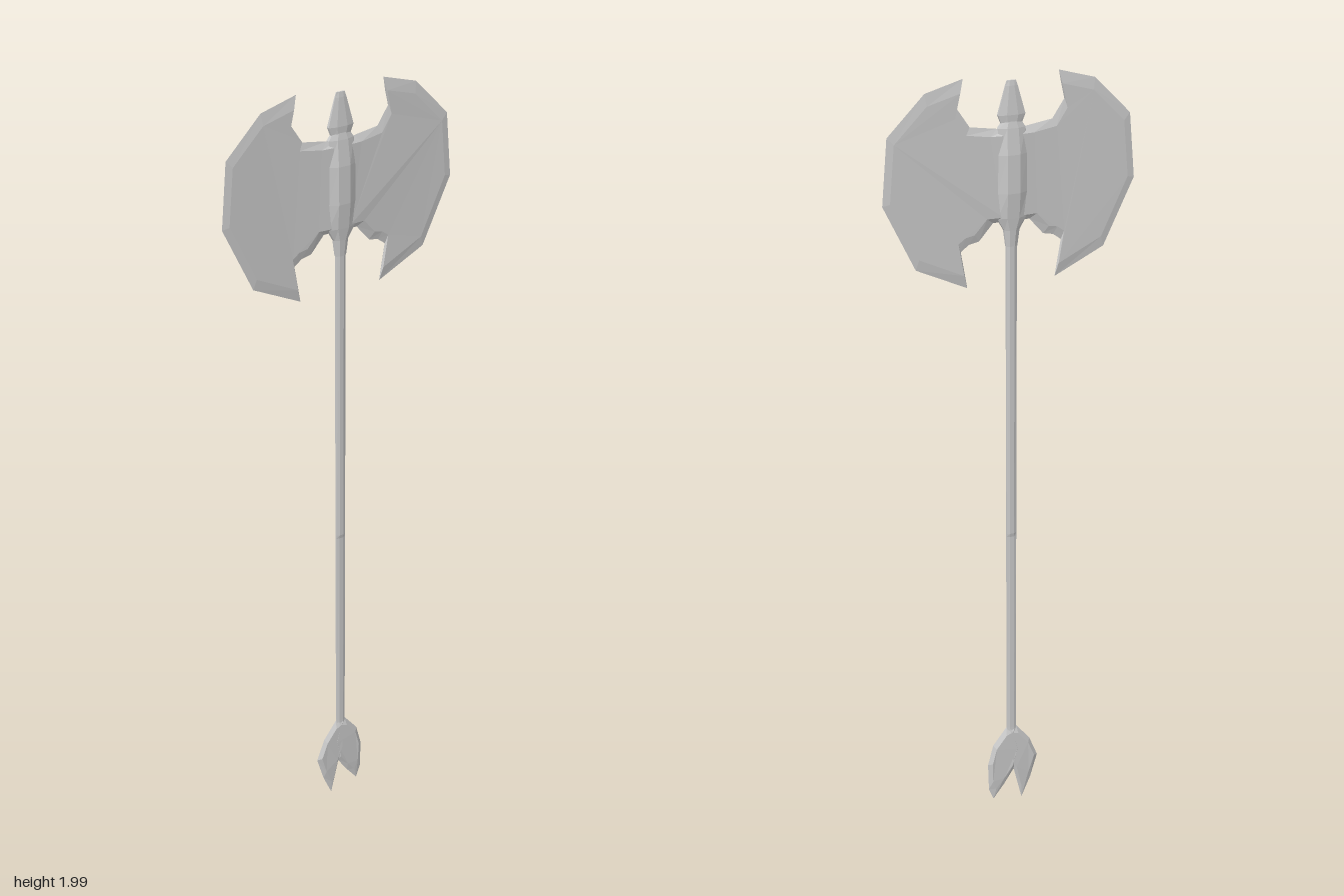
import * as THREE from 'three';

const material = new THREE.MeshStandardMaterial({ color: 0xcccccc, flatShading: true, side: THREE.DoubleSide });

function makeMesh(name, positions, indices) {
  const geometry = new THREE.BufferGeometry();
  geometry.setAttribute('position', new THREE.Float32BufferAttribute(positions, 3));
  geometry.setIndex(indices);
  const flat = geometry.toNonIndexed();
  flat.computeVertexNormals();
  const mesh = new THREE.Mesh(flat, material);
  mesh.name = name;
  return mesh;
}

// Stack of eight-sided rings; each section is [y, half width, half depth]
function loft(name, sections) {
  const sides = 8, positions = [], indices = [];
  const k = 1 / Math.cos(Math.PI / sides);
  for (const [y, hx, hz] of sections) {
    for (let i = 0; i < sides; i++) {
      const a = ((i + 0.5) / sides) * Math.PI * 2;
      positions.push(Math.sin(a) * hx * k, y, Math.cos(a) * hz * k);
    }
  }
  for (let r = 0; r < sections.length - 1; r++) {
    for (let i = 0; i < sides; i++) {
      const a = r * sides + i, b = r * sides + (i + 1) % sides;
      indices.push(a, b, b + sides, a, b + sides, a + sides);
    }
  }
  const top = (sections.length - 1) * sides;
  for (let i = 1; i < sides - 1; i++) {
    indices.push(0, i + 1, i, top, top + i, top + i + 1);
  }
  return makeMesh(name, positions, indices);
}

// Thin plate with a sharp rim and bevelled front and back faces
function bevelledPlate(name, outline, centre, inset, thickness) {
  let rim = outline.map(([x, y]) => new THREE.Vector2(x, y));
  if (THREE.ShapeUtils.isClockWise(rim)) rim = rim.reverse();
  const c = new THREE.Vector2(...centre);
  const inner = rim.map(p => p.clone().lerp(c, inset));
  const n = rim.length, positions = [], indices = [];
  rim.forEach(p => positions.push(p.x, p.y, 0));
  for (const s of [1, -1]) {
    inner.forEach(p => positions.push(p.x, p.y, s * thickness(p.x, p.y)));
  }
  for (let i = 0; i < n; i++) {
    const j = (i + 1) % n;
    indices.push(i, j, n + j, i, n + j, n + i);
    indices.push(j, i, 2 * n + i, j, 2 * n + i, 2 * n + j);
  }
  for (const [a, b, d] of THREE.ShapeUtils.triangulateShape(inner, [])) {
    indices.push(n + a, n + b, n + d, 2 * n + a, 2 * n + d, 2 * n + b);
  }
  return makeMesh(name, positions, indices);
}

export function createModel() {
  const group = new THREE.Group();

  // Slender shaft, thinner towards the bottom
  group.add(loft('shaft', [
    [0.22, 0.014, 0.006], [0.25, 0.013, 0.005], [0.83, 0.013, 0.004],
    [0.84, 0.013, 0.006], [1.63, 0.013, 0.007]
  ]));

  // Socket holding the two blades
  group.add(loft('socket', [
    [1.6, 0.014, 0.008], [1.64, 0.019, 0.011], [1.67, 0.036, 0.014],
    [1.73, 0.037, 0.019], [1.82, 0.037, 0.018], [1.88, 0.033, 0.011], [1.9, 0.02, 0.007]
  ]));

  // Small spike on top
  group.add(loft('topSpike', [
    [1.88, 0.021, 0.007], [1.91, 0.033, 0.009], [1.975, 0.015, 0.004], [1.987, 0.011, 0.002]
  ]));

  // Mirrored pair of broad blades
  const bladeOutline = [
    [0, 1.88], [0.035, 1.88], [0.1, 1.89], [0.13, 1.935], [0.115, 2.0],
    [0.205, 1.975], [0.295, 1.885], [0.31, 1.73], [0.235, 1.57], [0.11, 1.51],
    [0.125, 1.6], [0.105, 1.615], [0.08, 1.62], [0.045, 1.66], [0, 1.66]
  ];
  const bladeThickness = x => 0.003 + 0.009 * Math.exp(-Math.abs(x) / 0.07);
  for (const [name, side] of [['leftBlade', 1], ['rightBlade', -1]]) {
    group.add(bevelledPlate(name, bladeOutline.map(([x, y]) => [side * x, y]),
      [side * 0.175, 1.76], 0.13, bladeThickness));
  }

  // Forked leaf-shaped foot
  const footThickness = (x, y) => 0.008 * THREE.MathUtils.clamp((y - 0.01) / 0.12, 0.2, 1);
  group.add(bevelledPlate('rightFootLeaf', [
    [0.012, 0.26], [-0.014, 0.25], [-0.052, 0.2], [-0.075, 0.14], [-0.055, 0.07],
    [-0.03, 0.01], [-0.008, 0.105], [0.012, 0.16]
  ], [-0.028, 0.16], 0.25, footThickness));
  group.add(bevelledPlate('leftFootLeaf', [
    [-0.012, 0.26], [0.014, 0.25], [0.052, 0.2], [0.067, 0.14], [0.065, 0.06],
    [0.052, 0.025], [0.022, 0.065], [-0.01, 0.115], [-0.027, 0.185]
  ], [0.022, 0.16], 0.25, footThickness));

  return group;
}
